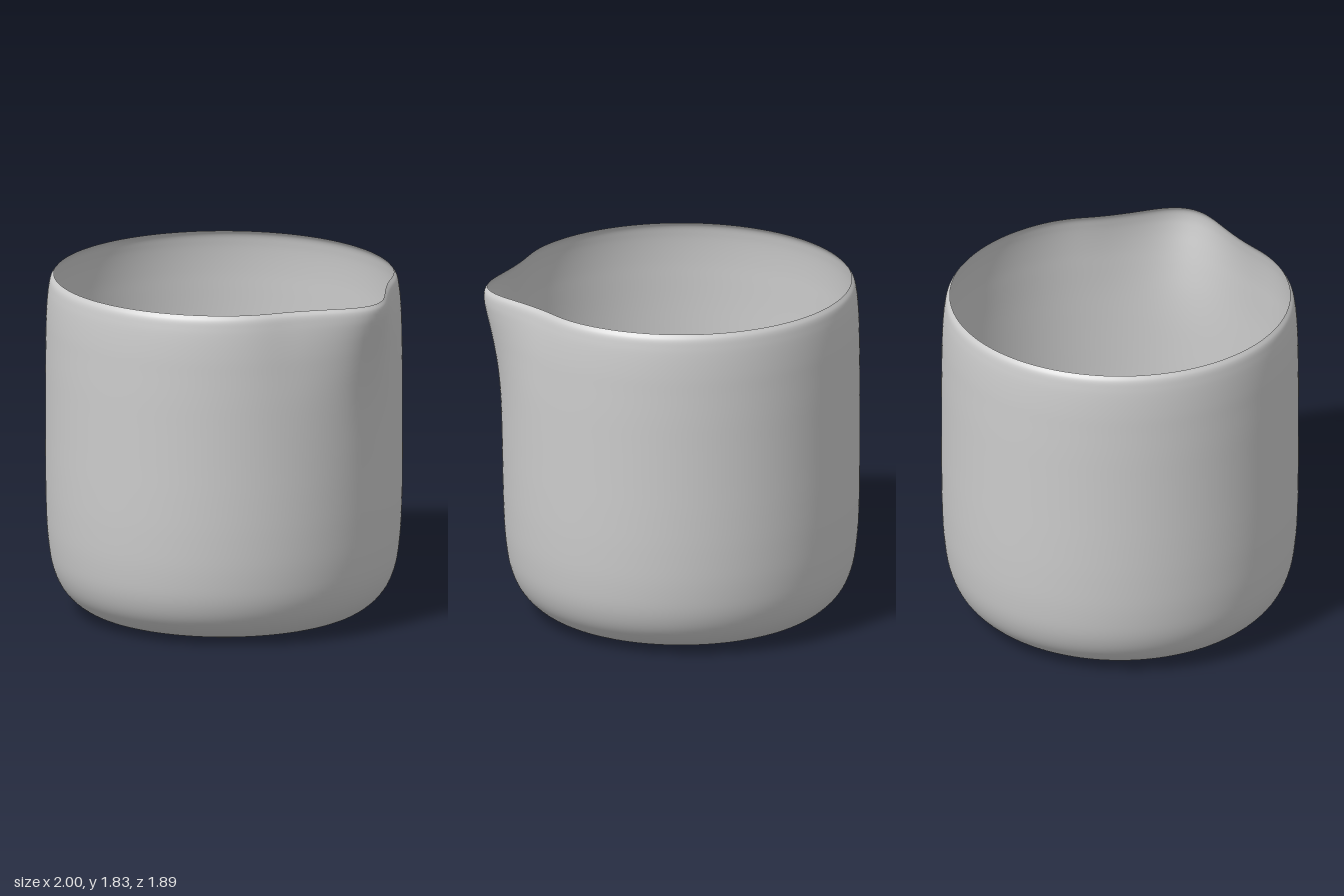
import * as THREE from 'three';
import { mergeVertices } from 'three/addons/utils/BufferGeometryUtils.js';

const CENTRE_X = -0.055; // the spout reaches out to +x, so the round body sits off centre

// wall profile: radius, height, spout reach at that height
const PROFILE = [
  [0, 0, 0], [0.3, 0, 0], [0.52, 0.003, 0], [0.64, 0.012, 0], [0.735, 0.035, 0],
  [0.805, 0.08, 0], [0.865, 0.15, 0], [0.907, 0.25, 0], [0.931, 0.4, 0],
  [0.942, 0.6, 0], [0.945, 0.8, 0.002], [0.945, 1.0, 0.007], [0.945, 1.2, 0.015],
  [0.945, 1.36, 0.03], [0.943, 1.5, 0.055], [0.941, 1.6, 0.078], [0.935, 1.7, 0.107],
  [0.928, 1.76, 0.124], [0.918, 1.805, 0.132], [0.9, 1.83, 0.135],
];

// spout strength by angle from +x: a narrow peak with a slight pinch on each side
function spout(angle) {
  const a = Math.abs(angle);
  return Math.exp(-((a / 0.24) ** 2)) - 0.1 * Math.exp(-(((a - 0.5) / 0.16) ** 2));
}

export function createModel() {
  const group = new THREE.Group();
  group.name = 'pouringCup';

  const curve = new THREE.CatmullRomCurve3(PROFILE.map((p) => new THREE.Vector3(...p)), false, 'centripetal');
  const wall = curve.getPoints(95);
  wall.forEach((p) => { p.y = THREE.MathUtils.clamp(p.y, 0, 1.83); });
  wall[0].x = 0;

  // round body, with its wall pushed outwards at the spout
  const lathe = new THREE.LatheGeometry(wall.map((p) => new THREE.Vector2(Math.max(p.x, 0), p.y)), 192);
  const pos = lathe.attributes.position;
  for (let i = 0; i < pos.count; i++) {
    const x = pos.getX(i);
    const z = pos.getZ(i);
    const angle = Math.atan2(z, x);
    const r = Math.hypot(x, z) + wall[i % wall.length].z * spout(angle);
    pos.setXYZ(i, CENTRE_X + r * Math.cos(angle), pos.getY(i), r * Math.sin(angle));
  }

  // weld the seam so the shading stays smooth all round
  lathe.deleteAttribute('uv');
  lathe.deleteAttribute('normal');
  const geometry = mergeVertices(lathe, 1e-5);
  geometry.computeVertexNormals();

  const material = new THREE.MeshStandardMaterial({ color: 0xcccccc, side: THREE.DoubleSide });
  const body = new THREE.Mesh(geometry, material);
  body.name = 'cupWithSpout';
  group.add(body);
  return group;
}
